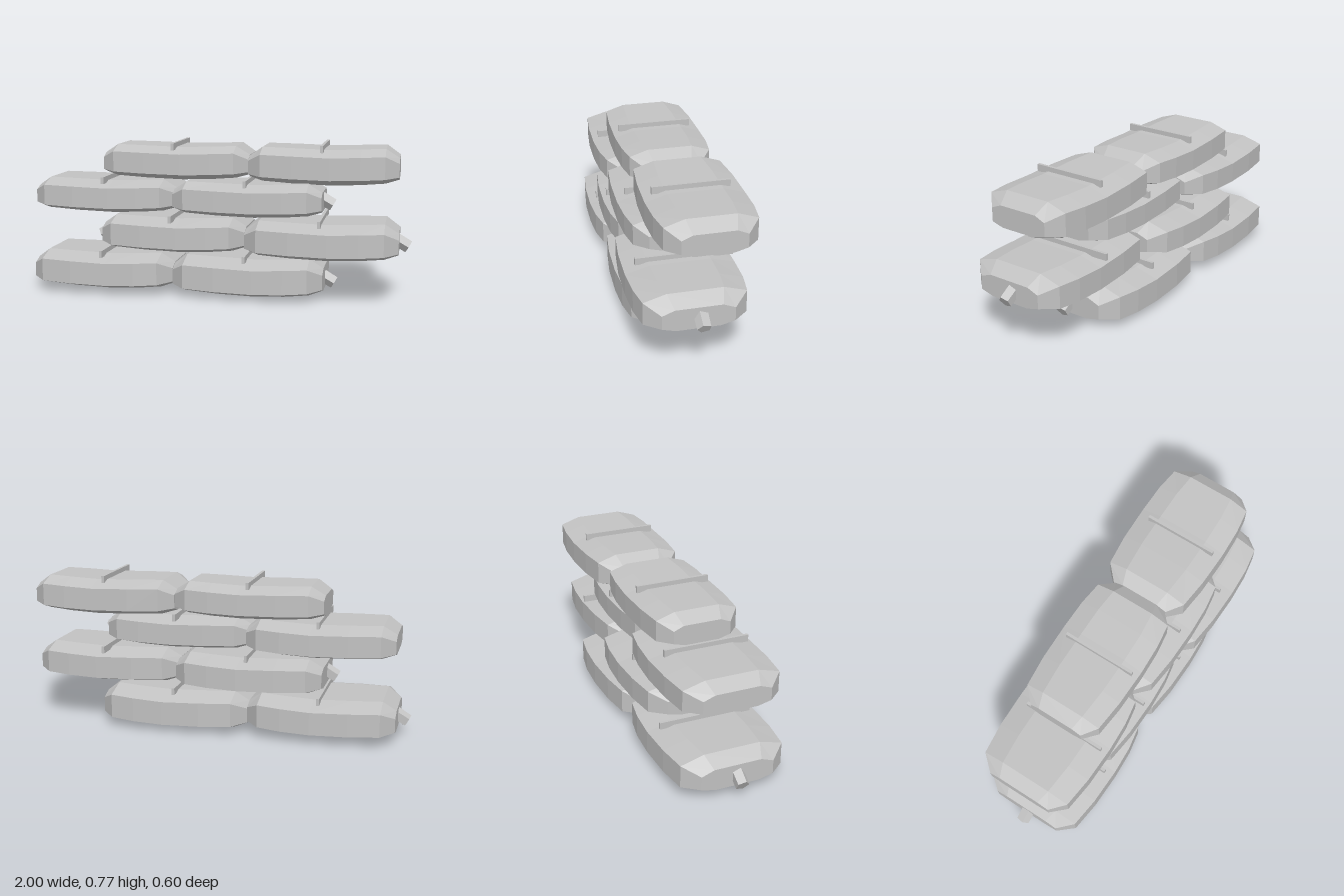
import * as THREE from 'three';

const canvas = new THREE.MeshStandardMaterial({ color: 0xc2c2c2, flatShading: true });
canvas.name = 'pale grey canvas';

// x0, x1: ends; y: bottom; h: height; z: centre; w: half depth; strap: [x, z front, z back]; knot: [side, z]
const BAGS = [
  { x0: -0.94, x1: -0.20, y: 0.012, h: 0.193, z: -0.008, w: 0.283, strap: [-0.565, 0.235, -0.24], knot: [-1, -0.005] },
  { x0: -0.20, x1: 0.565, y: 0.000, h: 0.203, z: -0.008, w: 0.287, strap: [0.175, 0.235, -0.24], knot: [1, -0.002] },
  { x0: -0.575, x1: 0.17, y: 0.212, h: 0.185, z: -0.02, w: 0.28, strap: [-0.2, 0.24, -0.235], knot: [-1, 0.01] },
  { x0: 0.175, x1: 0.935, y: 0.205, h: 0.19, z: 0.035, w: 0.266, strap: [0.55, 0.245, -0.235], knot: [1, 0.022] },
  { x0: -0.93, x1: -0.19, y: 0.408, h: 0.175, z: -0.017, w: 0.262, strap: [-0.555, 0.215, -0.215] },
  { x0: -0.20, x1: 0.555, y: 0.405, h: 0.175, z: 0.022, w: 0.238, strap: [0.175, 0.215, -0.215], knot: [1, 0.02] },
  { x0: -0.575, x1: 0.18, y: 0.582, h: 0.175, z: -0.03, w: 0.223, strap: [-0.2, 0.165, -0.21] },
  { x0: 0.18, x1: 0.928, y: 0.570, h: 0.187, z: -0.033, w: 0.237, strap: [0.55, 0.165, -0.21] },
];

// Octagonal ring: half depths of top, sides and bottom, and four heights, as fractions of the bag
const END = { top: 0.42, side: 0.64, bottom: 0.39, ys: [0.74, 0.62, 0.26, 0.17] };
const SHOULDER = { top: 0.5, side: 0.91, bottom: 0.54, ys: [0.99, 0.82, 0.23, 0.08] };
const BELLY = { top: 0.55, side: 0.98, bottom: 0.58, ys: [0.97, 0.8, 0.2, 0.03] };
const MIDDLE = { top: 0.56, side: 1, bottom: 0.59, ys: [0.94, 0.77, 0.18, 0] };
const STATIONS = [[0, END], [0.09, SHOULDER], [0.3, BELLY], [0.55, MIDDLE], [0.75, BELLY], [0.91, SHOULDER], [1, END]];

function ring(bag, t, s) {
  const half = [[s.top, s.ys[0]], [s.side, s.ys[1]], [s.side, s.ys[2]], [s.bottom, s.ys[3]]];
  const points = [[-s.top, s.ys[0]], ...half, ...half.slice(1).reverse().map(([z, y]) => [-z, y])];
  return points.map(([z, y]) => new THREE.Vector3(
    bag.x0 + (bag.x1 - bag.x0) * t, bag.y + bag.h * y, bag.z + bag.w * z));
}

// Skin the rings and close both ends
function bagGeometry(bag) {
  const rings = STATIONS.map(([t, s]) => ring(bag, t, s));
  const n = rings[0].length, verts = [];
  for (let i = 0; i < rings.length - 1; i++) {
    for (let j = 0; j < n; j++) {
      const k = (j + 1) % n;
      const a = rings[i][j], b = rings[i][k], c = rings[i + 1][k], d = rings[i + 1][j];
      verts.push(a, b, d, b, c, d);
    }
  }
  const first = rings[0], last = rings[rings.length - 1];
  for (let k = 1; k < n - 1; k++) {
    verts.push(first[0], first[k + 1], first[k], last[0], last[k], last[k + 1]);
  }
  const geometry = new THREE.BufferGeometry().setFromPoints(verts);
  geometry.computeVertexNormals();
  return geometry;
}

function addMesh(parent, name, geometry) {
  const mesh = new THREE.Mesh(geometry, canvas);
  mesh.name = name;
  parent.add(mesh);
  return mesh;
}

export function createModel() {
  const model = new THREE.Group();
  model.name = 'sandbagWall';
  for (const bag of BAGS) {
    const group = new THREE.Group();
    group.name = 'sandbag';
    model.add(group);
    addMesh(group, 'bagBody', bagGeometry(bag));

    // Raised seam across the top
    const [x, front, back] = bag.strap;
    const seam = addMesh(group, 'topSeam', new THREE.BoxGeometry(0.015, 0.035, front - back));
    seam.position.set(x, bag.y + bag.h - 0.004, (front + back) / 2);

    // Tied neck drooping from the outer end
    if (bag.knot) {
      const [side, z] = bag.knot;
      const knot = addMesh(group, 'tiedNeck', new THREE.CylinderGeometry(0.034, 0.036, 0.1, 5));
      const axis = new THREE.Vector3(side * 0.86, -0.5, 0);
      knot.quaternion.setFromUnitVectors(new THREE.Vector3(0, 1, 0), axis.normalize());
      knot.position.set((side > 0 ? bag.x1 : bag.x0) + side * 0.003, bag.y + 0.082, z);
    }
  }
  return model;
}
